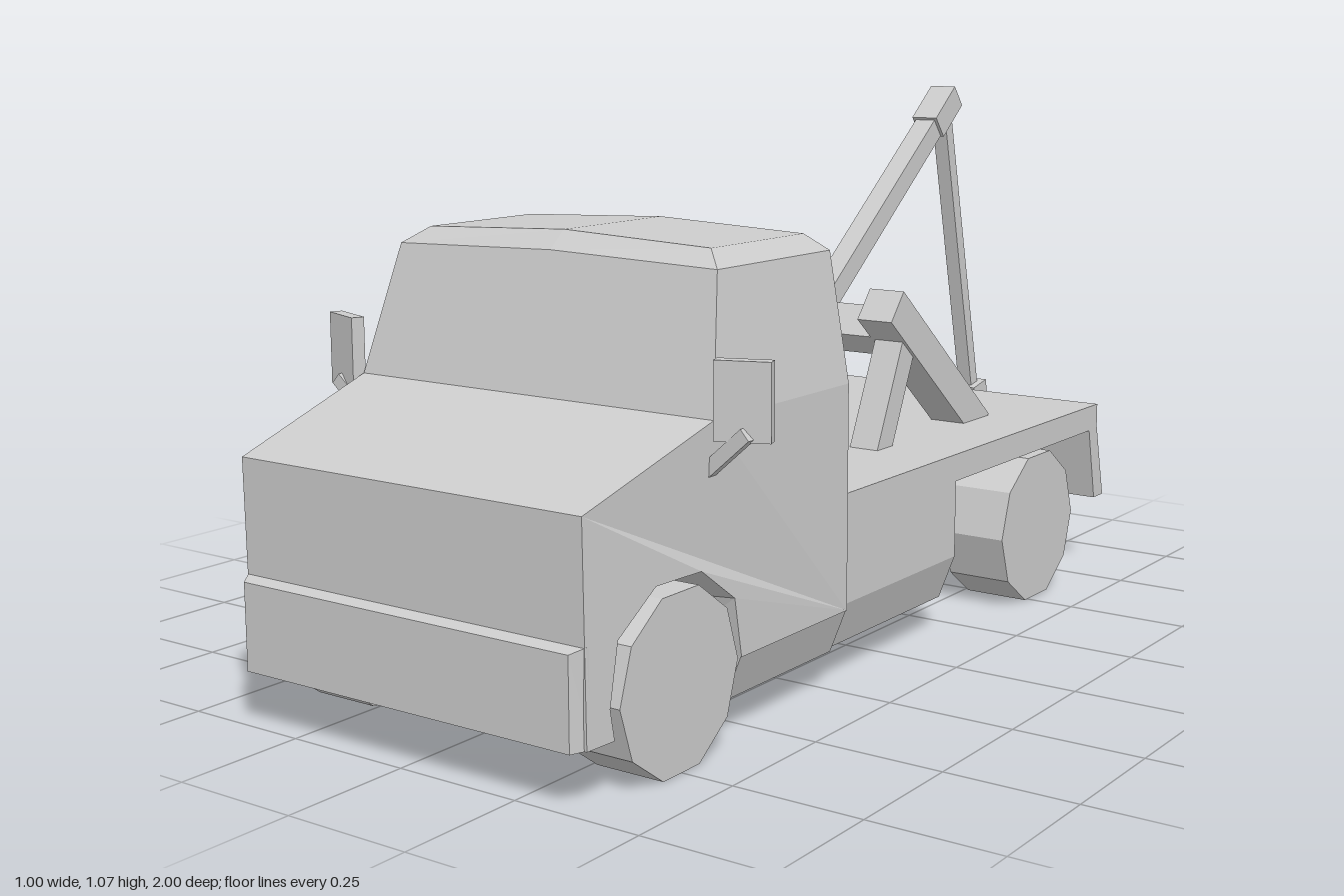
import * as THREE from 'three';

const mat = new THREE.MeshStandardMaterial({ color: 0xcccccc, flatShading: true });

export function createModel() {
  const root = new THREE.Group();

  const add = (name, geometry) => {
    const mesh = new THREE.Mesh(geometry, mat);
    mesh.name = name;
    root.add(mesh);
    return mesh;
  };

  const box = (name, w, h, d, x, y, z) => {
    const mesh = add(name, new THREE.BoxGeometry(w, h, d));
    mesh.position.set(x, y, z);
    return mesh;
  };

  // Side profile of [z, y] points, extruded from x0 to x1, then optionally bent by a rule
  const profile = (name, points, x0, x1, rule) => {
    const shape = new THREE.Shape(points.map(([z, y]) => new THREE.Vector2(z, y)));
    const geo = new THREE.ExtrudeGeometry(shape, { depth: x1 - x0, bevelEnabled: false });
    geo.rotateY(-Math.PI / 2).translate(x1, 0, 0);
    if (rule) {
      const pos = geo.attributes.position;
      const v = new THREE.Vector3();
      for (let i = 0; i < pos.count; i++) {
        rule(v.fromBufferAttribute(pos, i));
        pos.setXYZ(i, v.x, v.y, v.z);
      }
      geo.computeVertexNormals();
    }
    return add(name, geo);
  };

  // Square-cut beam between two [z, y] points at a given x
  const beam = (name, [z0, y0], [z1, y1], thick, width, x = 0) => {
    const mesh = box(name, width, thick, Math.hypot(z1 - z0, y1 - y0), x, (y0 + y1) / 2, (z0 + z1) / 2);
    mesh.rotation.x = Math.atan2(y0 - y1, z1 - z0);
    return mesh;
  };

  const axleY = 0.155, frontZ = 0.75, rearZ = -0.54;

  // Cab: inner core between the wheel wells
  profile('cabCore', [[0.24, 0.07], [0.6, 0.07], [0.975, 0.1], [0.98, 0.48], [0.66, 0.58], [0.24, 0.58]], -0.25, 0.25);

  // Cab sides with ten-sided wheel arches, flared outwards and narrowing to the nose
  const arch = [];
  for (let i = 5; i >= 0; i--) {
    const a = i * Math.PI / 5;
    arch.push([frontZ + 0.17 * Math.cos(a), axleY + 0.17 * Math.sin(a)]);
  }
  const side = [[0.24, axleY], ...arch, [0.91, 0.1], [0.975, 0.1], [0.98, 0.48], [0.66, 0.58], [0.24, 0.58]];
  const shapeSide = (v) => {
    if (Math.abs(v.x) < 0.3) return;
    const dz = v.z - frontZ, dy = v.y - axleY;
    if (dy > 0.02 && Math.hypot(dz, dy) < 0.18) {
      v.z = frontZ + dz * 1.09;
      v.y = axleY + dy * 1.09;
    }
    v.x = Math.sign(v.x) * (0.4 - Math.max(0, v.z - 0.66) * 0.065);
  };
  profile('leftCabSide', side, 0.25, 0.4, shapeSide);
  profile('rightCabSide', side, -0.4, -0.25, shapeSide);

  // Sills tucked in towards the floor
  const tuck = (v) => { if (v.y < 0.1) v.x *= 0.91; };
  const skirt = (name, z0, z1, w) =>
    profile(name, [[z0, 0.07], [z1, 0.07], [z1, axleY + 0.005], [z0, axleY + 0.005]], -w, w, tuck);
  skirt('cabSill', 0.24, 0.58, 0.4);
  skirt('bedSill', -0.195, 0.222, 0.385);
  box('bedSkirt', 0.77, 0.16, 0.417, 0, 0.24, 0.0135);

  // Bumper, narrower at its front face
  profile('bumper', [[0.96, 0.1], [1, 0.1], [1, 0.262], [0.975, 0.27], [0.96, 0.27]], -0.38, 0.38,
    (v) => { if (v.z > 0.99) v.x *= 0.96; });

  // Cabin: rings of [half width, y, back z, front z, crown]
  const rings = [[0.4, 0.58, 0.24, 0.66, 0], [0.36, 0.82, 0.244, 0.593, 0.01], [0.32, 0.85, 0.27, 0.555, 0.013]];
  const verts = [], faces = [];
  rings.forEach(([w, y, b, f, c]) => verts.push(w, y, b, 0, y + c, b, -w, y, b, -w, y, f, 0, y + c, f, w, y, f));
  for (let r = 0; r < 2; r++) {
    for (let i = 0; i < 6; i++) {
      const p = r * 6 + i, q = r * 6 + (i + 1) % 6;
      faces.push(p, q, q + 6, p, q + 6, p + 6);
    }
  }
  faces.push(12, 13, 16, 12, 16, 17, 13, 14, 15, 13, 15, 16);
  const cabin = new THREE.BufferGeometry();
  cabin.setAttribute('position', new THREE.Float32BufferAttribute(verts, 3));
  cabin.setIndex(faces);
  const cabinFlat = cabin.toNonIndexed();
  cabinFlat.computeVertexNormals();
  add('cabin', cabinFlat);

  // Flat bed, tail flap and rear axle
  box('bed', 0.77, 0.055, 1.09, 0, 0.3425, -0.305);
  profile('tailFlap', [[-0.81, 0.32], [-0.85, 0.32], [-0.89, 0.155], [-0.845, 0.155]].reverse(), -0.385, 0.385);
  box('rearAxle', 0.54, 0.08, 0.09, 0, axleY, rearZ);

  for (const s of [1, -1]) {
    const label = s > 0 ? 'left' : 'right';

    // Chassis rails
    box(label + 'Rail', 0.05, 0.155, 1.04, s * 0.14, 0.24, -0.28);

    // Ten-sided wheels, flat on the ground
    for (const [end, z] of [['Front', frontZ], ['Rear', rearZ]]) {
      const geo = new THREE.CylinderGeometry(0.163, 0.163, 0.138, 10);
      geo.rotateY(Math.PI / 2).rotateZ(Math.PI / 2);
      geo.rotateX(Math.PI / 2);
      // Vertices point fore and aft so that a flat side rests below
      geo.rotateX(geo.attributes.position.count ? flatOffset(geo) : 0);
      add(label + end + 'Wheel', geo).position.set(s * 0.328, axleY, z);
    }

    // Mirrors on slanted arms
    box(label + 'Mirror', 0.098, 0.135, 0.025, s * 0.452, 0.617, 0.648).rotation.y = s * 0.36;
    const arm = box(label + 'MirrorArm', 0.11, 0.025, 0.02, s * 0.425, 0.528, 0.658);
    arm.rotation.z = s * 0.72;

    // Crane frame legs
    beam(label + 'LongStrut', [-0.195, 0.656], [-0.57, 0.345], 0.075, 0.08, s * 0.205);
    beam(label + 'ShortStrut', [-0.155, 0.35], [-0.255, 0.57], 0.055, 0.065, s * 0.205);
  }

  // Crane crossbar, boom, head, cable and hook block
  beam('crossbar', [-0.248, 0.613], [-0.302, 0.568], 0.075, 0.34);
  beam('boom', [-0.135, 0.51], [-0.78, 1.015], 0.047, 0.048);
  beam('boomHead', [-0.738, 0.985], [-0.822, 1.053], 0.056, 0.062);
  beam('cable', [-0.8, 1.01], [-0.953, 0.35], 0.03, 0.034);
  beam('hookBlock', [-0.949, 0.366], [-0.97, 0.266], 0.06, 0.066);

  return root;
}

// Turn needed to bring a corner of a ten-sided wheel onto the z axis
function flatOffset(geo) {
  const pos = geo.attributes.position;
  return Math.atan2(pos.getY(0), pos.getZ(0));
}
